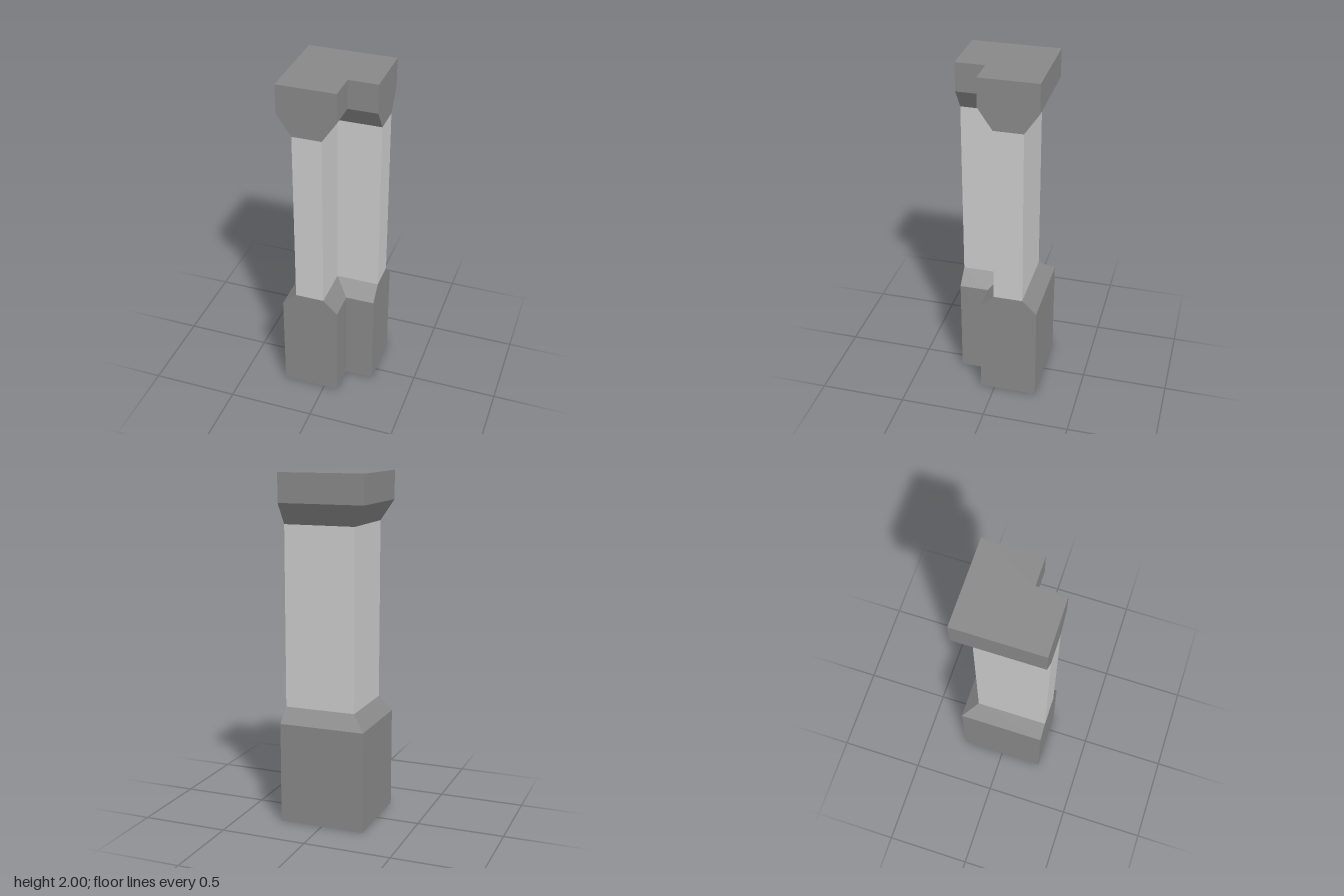
import * as THREE from 'three';

const HALF = 0.25;    // half width of base and capital
const NOTCH = 0.083;  // inner corner of the L
const INSET = 0.083;  // how far the shaft steps in

// L-shaped cross-section; the two arm ends stay flush at +x and +z
function ring(y, d) {
  const o = -HALF + d, n = NOTCH - d;
  return [[o, o], [HALF, o], [HALF, n], [n, n], [n, HALF], [o, HALF]]
    .map(([x, z]) => [x, y, z]);
}

// Loft through [height, inset] levels, closing the ends on request
function loft(name, color, levels, { top = false, bottom = false } = {}) {
  const rings = levels.map(([y, d]) => ring(y, d));
  const pos = [];
  const tri = (a, b, c) => pos.push(...a, ...b, ...c);
  for (let k = 0; k < rings.length - 1; k++) {
    const lo = rings[k], hi = rings[k + 1];
    for (let i = 0; i < 6; i++) {
      const j = (i + 1) % 6;
      tri(lo[i], hi[i], hi[j]);
      tri(lo[i], hi[j], lo[j]);
    }
  }
  // End faces fan out from the inner corner (index 3)
  for (let s = 1; s <= 4; s++) {
    const i = (3 + s) % 6, j = (4 + s) % 6;
    const first = rings[0], last = rings[rings.length - 1];
    if (bottom) tri(first[3], first[i], first[j]);
    if (top) tri(last[3], last[j], last[i]);
  }
  const geo = new THREE.BufferGeometry();
  geo.setAttribute('position', new THREE.Float32BufferAttribute(pos, 3));
  geo.computeVertexNormals();
  const mesh = new THREE.Mesh(geo, new THREE.MeshStandardMaterial({ color, flatShading: true }));
  mesh.name = name;
  return mesh;
}

export function createModel() {
  const group = new THREE.Group();
  group.name = 'cornerPillar';
  group.add(
    // Plinth with sloped shoulder
    loft('base', 0x888888, [[0, 0], [0.587, 0], [0.667, INSET]], { bottom: true }),
    // Lighter straight shaft
    loft('shaft', 0xcccccc, [[0.667, INSET], [1.713, INSET]]),
    // Flared capital
    loft('capital', 0x888888, [[1.713, INSET], [1.835, 0], [2, 0]], { top: true }),
  );
  return group;
}
